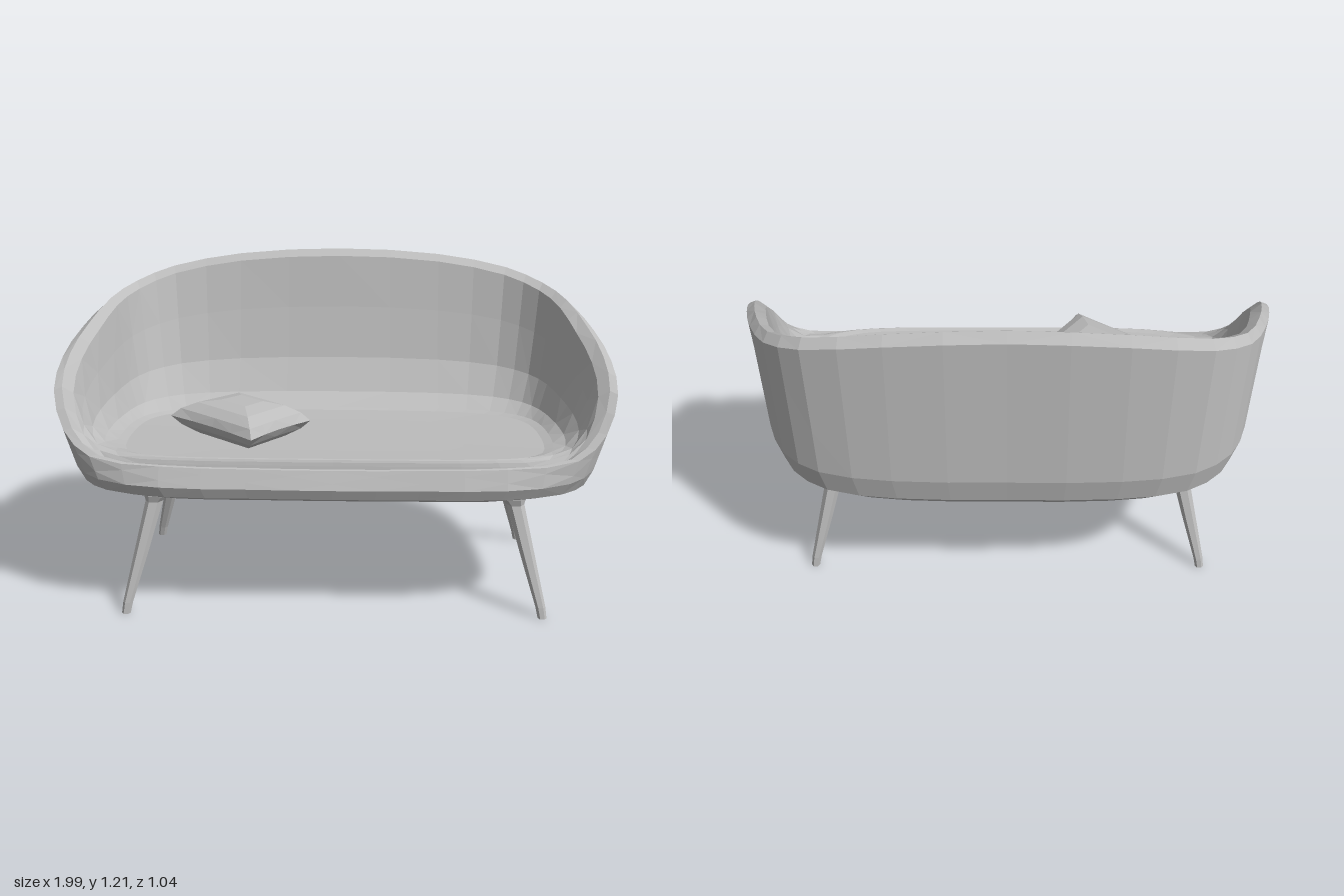
import * as THREE from 'three';

const V = (x, y, z) => new THREE.Vector3(x, y, z);

// Faceted skin over stacked rings; rings run bottom to top, both ends are capped.
function loft(rings) {
  const n = rings[0].length, pos = [];
  const tri = (...pts) => pts.forEach(p => pos.push(p.x, p.y, p.z));
  const centre = r => r.reduce((s, p) => s.add(p), V(0, 0, 0)).divideScalar(n);
  const first = centre(rings[0]), lastRing = rings[rings.length - 1], last = centre(lastRing);
  for (let j = 0; j < n; j++) {
    const k = (j + 1) % n;
    tri(first, rings[0][j], rings[0][k]);
    for (let i = 0; i < rings.length - 1; i++) {
      const a = rings[i][j], b = rings[i + 1][j], c = rings[i][k], d = rings[i + 1][k];
      if ((i + j) % 2) { tri(a, b, c); tri(b, d, c); }
      else { tri(a, b, d); tri(a, d, c); }
    }
    tri(lastRing[j], last, lastRing[k]);
  }
  const g = new THREE.BufferGeometry();
  g.setAttribute('position', new THREE.Float32BufferAttribute(pos, 3));
  g.computeVertexNormals();
  return g;
}

// Half outline from back centre to front centre:
// outer base x,z | rim x,y,z | seat edge x,z
const STATIONS = [
  [0, -.518, 0, 1.205, -.49, 0, -.18],
  [.4, -.512, .4, 1.185, -.483, .4, -.17],
  [.66, -.465, .68, 1.14, -.435, .6, -.14],
  [.8, -.36, .82, 1.095, -.33, .7, -.09],
  [.875, -.2, .9, 1.055, -.17, .75, -.03],
  [.915, 0, .957, .99, .02, .775, .05],
  [.935, .18, .99, .915, .19, .785, .15],
  [.935, .3, .995, .82, .315, .785, .26],
  [.91, .38, .95, .69, .385, .765, .36],
  [.82, .45, .85, .61, .44, .69, .42],
  [.6, .508, .6, .588, .478, .55, .45],
  [.3, .515, .3, .583, .485, .3, .46],
  [0, .518, 0, .58, .485, 0, .46],
];

function shellGeometry() {
  const mirrored = STATIONS.slice(1, -1).reverse()
    .map(([a, b, c, d, e, f, g]) => [-a, b, -c, d, e, -f, g]);
  const all = [...STATIONS, ...mirrored];
  const baseY = y => .515 + .1 * THREE.MathUtils.clamp((y - .58) / .3, 0, 1);
  const curve = f => new THREE.CatmullRomCurve3(all.map(f), true);
  const baseCurve = curve(s => V(s[0], baseY(s[3]), s[1]));
  const rimCurve = curve(s => V(s[2], s[3], s[4]));
  const seatCurve = curve(s => V(s[5], .612, s[6]));
  const columns = 48, rings = Array.from({ length: 15 }, () => []);
  for (let j = 0; j < columns; j++) {
    const B = baseCurve.getPoint(j / columns);
    const R = rimCurve.getPoint(j / columns);
    const S = seatCurve.getPoint(j / columns);
    const under = (s, h) => V(B.x * s, .45 + (B.y - .45) * h, .04 + (B.z - .04) * s);
    const gap = Math.hypot(S.x - R.x, S.z - R.z);
    const rimWidth = Math.min(.07, gap * .4) / gap;
    const top = R.clone().lerp(S, rimWidth * .45); top.y = R.y;
    const inner = R.clone().lerp(S, rimWidth); inner.y = R.y - .025 * Math.min(1, gap / .15);
    const wall = (out, down) => V(
      THREE.MathUtils.lerp(inner.x, S.x, out),
      THREE.MathUtils.lerp(inner.y, S.y, down),
      THREE.MathUtils.lerp(inner.z, S.z, out));
    const seat = (s, y) => V(S.x * s, y, .15 + (S.z - .15) * s);
    const edge = B.clone().lerp(R, .95);
    [under(.72, 0), under(.9, .16), under(.97, .42), B,
      B.clone().lerp(R, .33), B.clone().lerp(R, .66), edge,
      top, inner, wall(.18, .35), wall(.4, .7), wall(.7, .92),
      S, seat(.96, .604), seat(.6, .6)].forEach((p, i) => rings[i].push(p));
  }
  return loft(rings);
}

// Slim splayed leg with a flared top
function legGeometry(side, topZ, footZ) {
  const steps = [[0, .755, 1, .016], [.04, .748, .93, .018], [.22, .7, .47, .026],
    [.395, .655, .04, .032], [.425, .645, 0, .05], [.46, .645, 0, .055]];
  return loft(steps.map(([y, x, t, r]) => Array.from({ length: 6 }, (_, i) => {
    const a = i / 6 * Math.PI * 2;
    return V(side * x + Math.cos(a) * r, y, topZ + (footZ - topZ) * t + Math.sin(a) * r * .85);
  })));
}

// Pillow: rings shrink from the seam to the crown on each side
function pillowGeometry() {
  const corners = [V(-.385, .675, -.055), V(-.09, .67, .2), V(-.28, .675, .46), V(-.6, .685, .2)];
  const mid = V(-.335, .675, .205), per = 4;
  const ring = (s, dy, pinch) => {
    const pts = [];
    corners.forEach((c, i) => {
      for (let k = 0; k < per; k++) {
        const t = k / per, p = c.clone().lerp(corners[(i + 1) % 4], t);
        const inset = 1 - pinch * 4 * t * (1 - t);
        p.sub(mid).multiplyScalar(s * inset).add(mid);
        p.y += dy;
        pts.push(p);
      }
    });
    return pts;
  };
  return loft([ring(.3, -.075, 0), ring(.62, -.06, 0), ring(.86, -.03, .02), ring(1, 0, .07),
    ring(.86, .03, .02), ring(.62, .056, 0), ring(.3, .07, 0)]);
}

export function createModel() {
  const group = new THREE.Group();
  group.name = 'sofa';
  const grey = new THREE.MeshStandardMaterial({ color: 0xbcbcbc });
  grey.name = 'plain grey';
  const add = (geometry, name) => {
    const mesh = new THREE.Mesh(geometry, grey);
    mesh.name = name;
    group.add(mesh);
    return mesh;
  };

  add(shellGeometry(), 'seatShell');
  add(pillowGeometry(), 'pillow');

  // Legs and the rails that join them front to back
  for (const [side, label] of [[1, 'left'], [-1, 'right']]) {
    add(legGeometry(side, .305, .425), label + 'FrontLeg');
    add(legGeometry(side, -.205, -.31), label + 'BackLeg');
    add(new THREE.BoxGeometry(.05, .035, .58), label + 'Rail').position.set(side * .645, .4375, .055);
  }
  return group;
}
